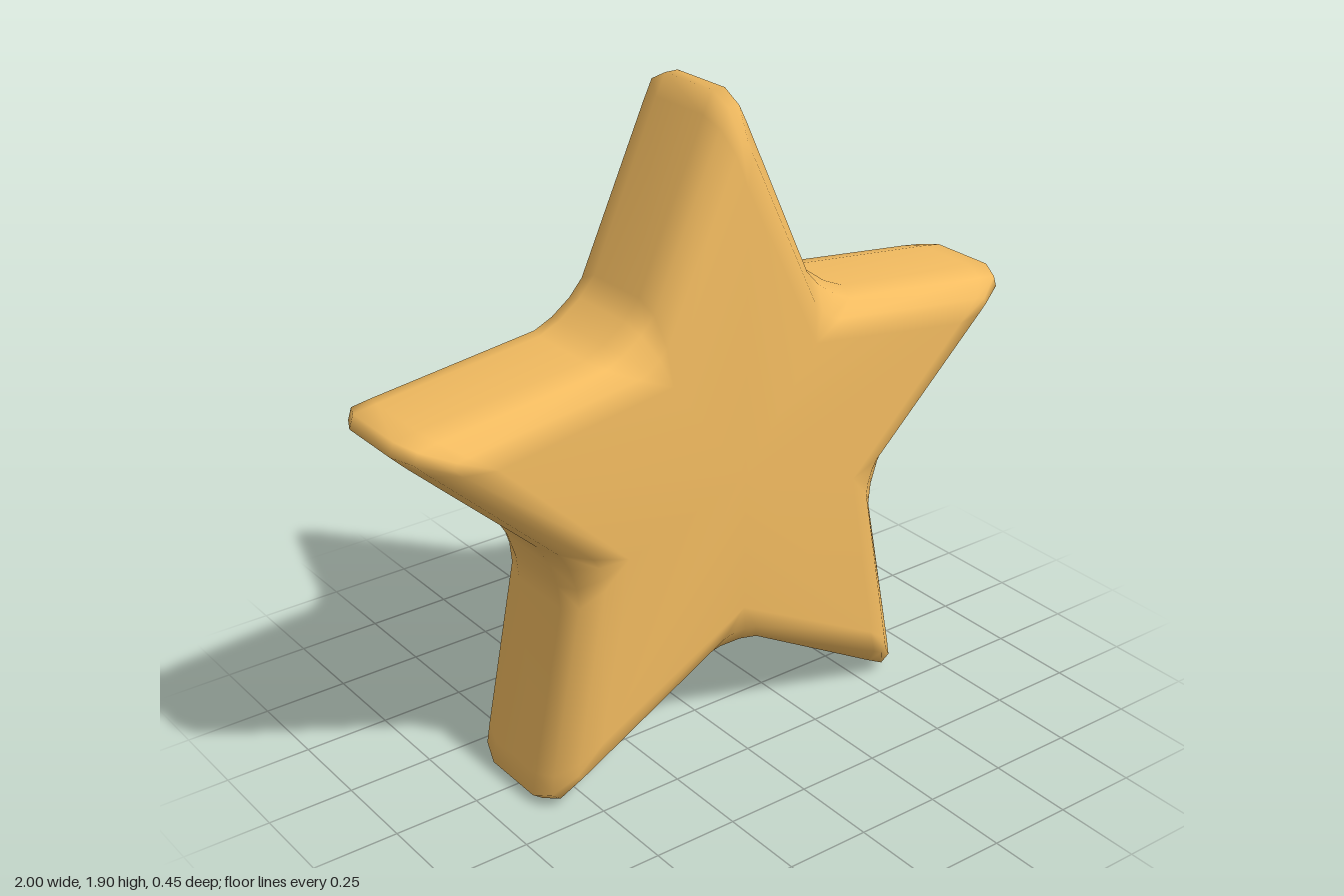
import * as THREE from 'three';
import { mergeVertices } from 'three/addons/utils/BufferGeometryUtils.js';

// One arm of the star: [angle, outer radius, sideways shift, radius on the flat face]
const STEP = Math.PI / 5;
const ARM = [
  ...[[0.985, -0.05], [1.045, -0.02], [1.045, 0.02], [0.985, 0.05]].map(([r, s]) => [0, r, s, 0.81]),
  ...[[0.585, -0.11], [0.57, -0.04], [0.57, 0.04], [0.585, 0.11]].map(([r, s]) => [STEP, r, s, 0.405]),
];
const CENTRE_Y = 0.857, WALL = 0.1, BEVEL = 0.127;

// Closed outline, counter-clockwise; t = 1 is the outer wall, t = 0 the flat face
function outline(t) {
  const points = [];
  for (let arm = 0; arm < 5; arm++) {
    for (const [offset, outer, shift, inner] of ARM) {
      const a = arm * 2 * STEP + offset;
      const r = inner + (outer - inner) * t, s = shift * t;
      points.push([-r * Math.sin(a) - s * Math.cos(a), r * Math.cos(a) - s * Math.sin(a)]);
    }
  }
  return points;
}

function starGeometry() {
  const position = [], index = [];
  // Cross-sections from back to front following a quarter-round bevel
  const sections = [];
  for (const side of [-1, 1]) {
    for (let k = 0; k <= 3; k++) {
      const angle = (side < 0 ? 3 - k : k) * Math.PI / 6;
      sections.push([Math.cos(angle), side * (WALL + BEVEL * Math.sin(angle))]);
    }
  }
  const n = ARM.length * 5;
  for (const [t, z] of sections) {
    for (const [x, y] of outline(t)) position.push(x, y + CENTRE_Y, z);
  }
  const depth = WALL + BEVEL, last = (sections.length - 1) * n;
  const back = sections.length * n, front = back + 1;
  position.push(0, CENTRE_Y, -depth, 0, CENTRE_Y, depth);

  for (let i = 0; i < n; i++) {
    const j = (i + 1) % n;
    for (let k = 0; k < last; k += n) {
      index.push(k + i, k + j, k + n + j, k + i, k + n + j, k + n + i);
    }
    index.push(front, last + i, last + j, back, j, i);
  }
  let geometry = new THREE.BufferGeometry();
  geometry.setAttribute('position', new THREE.Float32BufferAttribute(position, 3));
  geometry.setIndex(index);
  geometry = mergeVertices(geometry, 1e-4);

  // Drop triangles that collapsed at the face corners
  const merged = geometry.index.array, kept = [];
  for (let i = 0; i < merged.length; i += 3) {
    const [a, b, c] = [merged[i], merged[i + 1], merged[i + 2]];
    if (a !== b && b !== c && c !== a) kept.push(a, b, c);
  }
  geometry.setIndex(kept);
  geometry.computeVertexNormals();
  return geometry;
}

export function createModel() {
  const group = new THREE.Group();
  group.name = 'star';
  const body = new THREE.Mesh(starGeometry(), new THREE.MeshStandardMaterial({ color: 0xf2bb60 }));
  body.name = 'starBody';
  group.add(body);
  return group;
}
